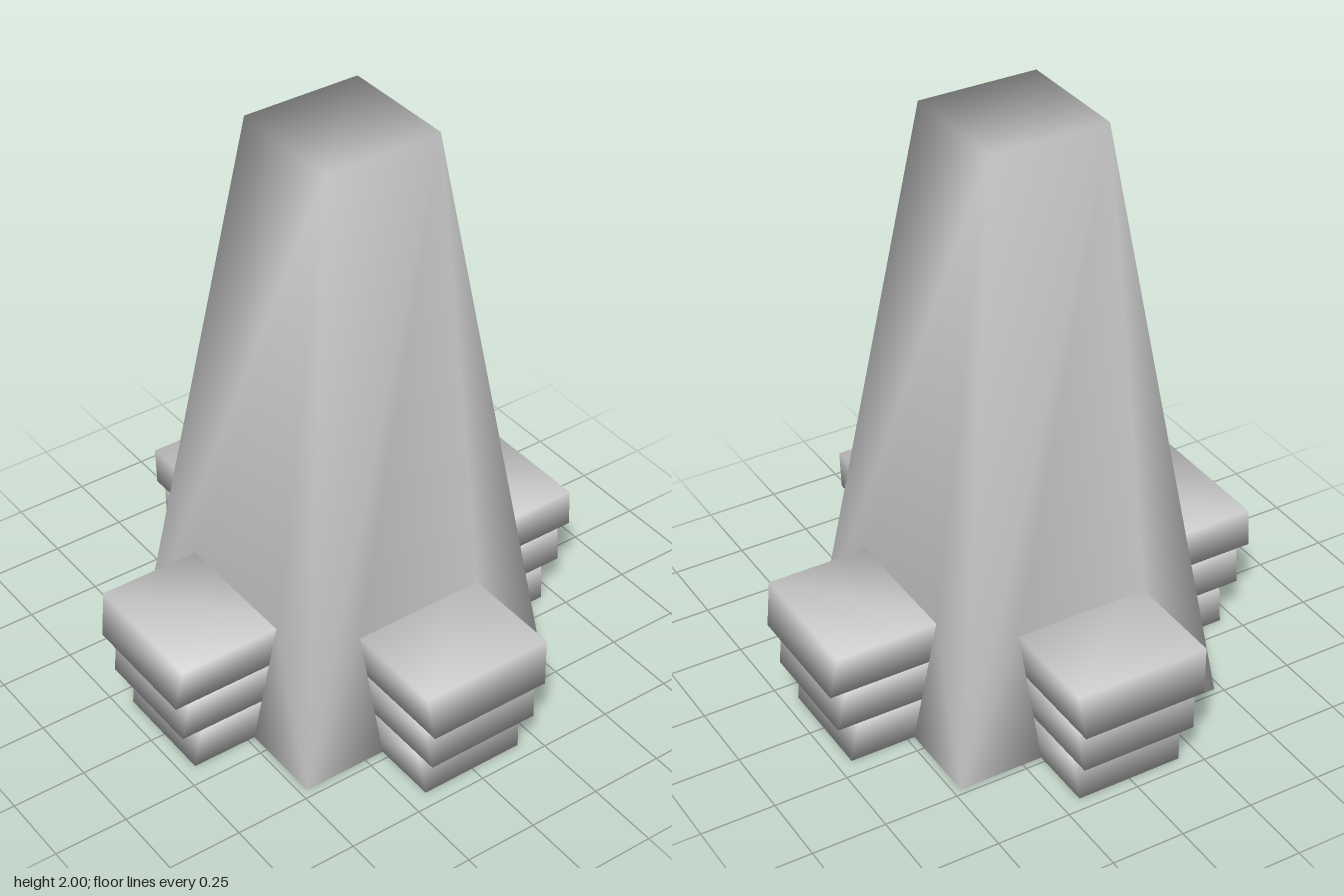
import * as THREE from 'three';
import { mergeVertices, mergeGeometries } from 'three/addons/utils/BufferGeometryUtils.js';

const SLOPE = 0.1365;   // inward lean of the walls per unit of height
const THICK = 0.17;     // wall thickness
const BASE = 0.475;     // half width of the tower at the ground
const TOP = 0.202;      // half width of the tower at the top
const GATE_TOP = 0.455;
const gateHalf = (y) => 0.183 + 0.1 * y;

// weld shared corners so that shading runs softly over the edges
function soften(geometry) {
  geometry.deleteAttribute('uv');
  geometry.deleteAttribute('normal');
  const welded = mergeVertices(geometry, 1e-4);
  welded.computeVertexNormals();
  return welded;
}

// move every vertex by a rule (x, y, z) => [x, y, z]
function reshape(geometry, rule) {
  const p = geometry.attributes.position;
  for (let i = 0; i < p.count; i++) p.setXYZ(i, ...rule(p.getX(i), p.getY(i), p.getZ(i)));
  return geometry;
}

// one leaning wall with a gate cut out at the bottom, mitred at the corners
function wallGeometry() {
  const g0 = gateHalf(0), g1 = gateHalf(GATE_TOP);
  const outline = new THREE.Shape([
    [-BASE, 0], [-g0, 0], [-g1, GATE_TOP], [g1, GATE_TOP],
    [g0, 0], [BASE, 0], [TOP, 2], [-TOP, 2],
  ].map(([x, y]) => new THREE.Vector2(x, y)));
  const wall = new THREE.ExtrudeGeometry(outline, { depth: 1, bevelEnabled: false });
  return reshape(wall, (x, y, z) => {
    const face = BASE - SLOPE * y;
    if (z > 0.5) return [x, y, face];
    const corner = Math.abs(x) > face - 0.01;
    const innerX = corner ? Math.sign(x) * (Math.abs(x) - THICK) : x;
    return [innerX, y > 1.9 ? 1.85 : y, face - THICK];
  });
}

// a tier of a buttress: a slab that leans and tapers like the wall behind it
function tierGeometry(y0, y1, reach) {
  return soften(reshape(new THREE.BoxGeometry(2, 1, 1), (x, y, z) => {
    const h = y > 0 ? y1 : y0;
    return [x * gateHalf(h), h, (z > 0 ? reach : 0.38) - SLOPE * h];
  }));
}

export function createModel() {
  const model = new THREE.Group();
  const material = new THREE.MeshStandardMaterial({ color: 0xcccccc });

  // hollow tower: four walls and a flat roof
  const parts = [];
  for (let i = 0; i < 4; i++) parts.push(wallGeometry().rotateY(i * Math.PI / 2));
  const roof = new THREE.PlaneGeometry(2 * TOP, 2 * TOP).rotateX(-Math.PI / 2).translate(0, 2, 0);
  parts.push(roof.toNonIndexed());
  const tower = new THREE.Mesh(soften(mergeGeometries(parts)), material);
  tower.name = 'tower';
  model.add(tower);

  // a stepped buttress in each gate, widest at the top
  const tiers = [[0, 0.155, 0.7], [0.155, 0.305, 0.771], [0.305, GATE_TOP, 0.82]];
  for (let i = 0; i < 4; i++) {
    const buttress = new THREE.Group();
    buttress.name = 'buttress';
    for (const tier of tiers) {
      const slab = new THREE.Mesh(tierGeometry(...tier), material);
      slab.name = 'buttressTier';
      buttress.add(slab);
    }
    buttress.rotation.y = i * Math.PI / 2;
    model.add(buttress);
  }

  model.position.z = -0.004;
  return model;
}
